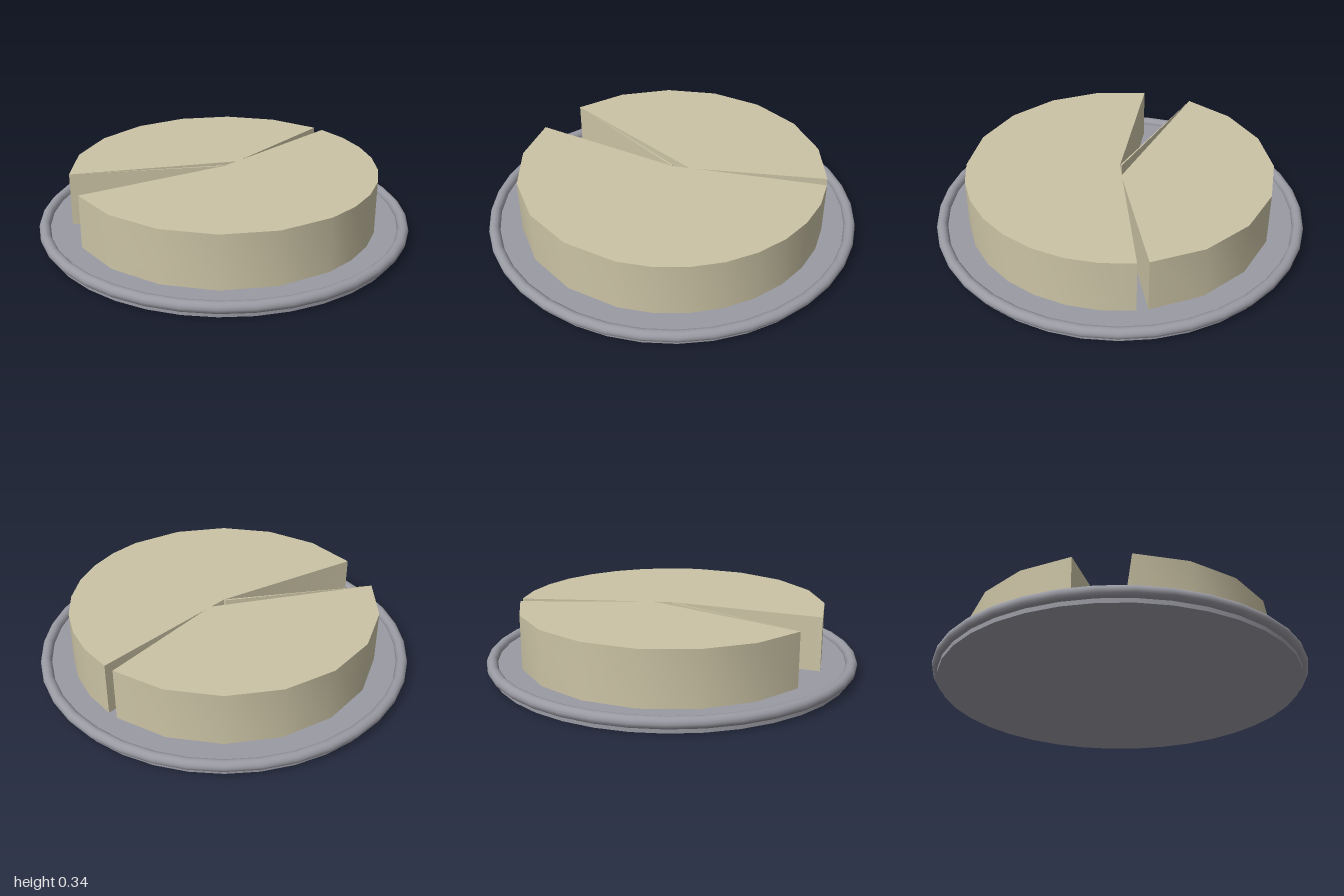
import * as THREE from 'three';
import { toCreasedNormals } from 'three/addons/utils/BufferGeometryUtils.js';

export function createModel() {
  const group = new THREE.Group();
  const metal = new THREE.MeshStandardMaterial({ color: 0x9a9aa3 });
  metal.name = 'grey plate';
  const cheese = new THREE.MeshStandardMaterial({ color: 0xcbc3a5 });
  cheese.name = 'cream cheese';

  const add = (name, geometry, material) => {
    const mesh = new THREE.Mesh(geometry, material);
    mesh.name = name;
    group.add(mesh);
    return mesh;
  };

  // Round plate and its rolled rim
  const plateTop = 0.053, top = 0.343;
  add('plate', new THREE.CylinderGeometry(0.968, 0.968, plateTop, 36), metal).position.y = plateTop / 2;
  const rim = add('plateRim', new THREE.TorusGeometry(0.969, 0.03, 12, 36), metal);
  rim.rotation.x = Math.PI / 2;
  rim.position.y = 0.053;

  // Upright slab from an outline given as [x, z]
  const slab = (name, outline) => {
    const shape = new THREE.Shape(outline.map(([x, z]) => new THREE.Vector2(x, -z)));
    const geometry = new THREE.ExtrudeGeometry(shape, { depth: top - plateTop, bevelEnabled: false });
    geometry.rotateX(-Math.PI / 2);
    geometry.translate(0, plateTop, 0);
    add(name, toCreasedNormals(geometry, 0.6), cheese);
  };

  // Larger piece, with finer steps along its back right arc
  const rightDegrees = [-96, -84, -72, -60, -48, -36, -24, -12, 0, 20, 40, 60, 80, 100];
  // Smaller piece, with a narrow split behind its front cut face
  const leftDegrees = [120, 140, 160, 180, 200, 220, 240, 260];
  const arc = (degrees) => degrees.map((d) => {
    const a = THREE.MathUtils.degToRad(d);
    return [0.822 * Math.cos(a), 0.822 * Math.sin(a)];
  });
  slab('largePiece', [[0, 0], ...arc(rightDegrees)]);
  slab('smallPiece', [[-0.008, -0.1], ...arc(leftDegrees)]);

  // Thin cut face that runs from the centre to the front corner
  slab('cutFace', [[0, 0], [-0.411, 0.712], [-0.012, 0.002]]);

  return group;
}
